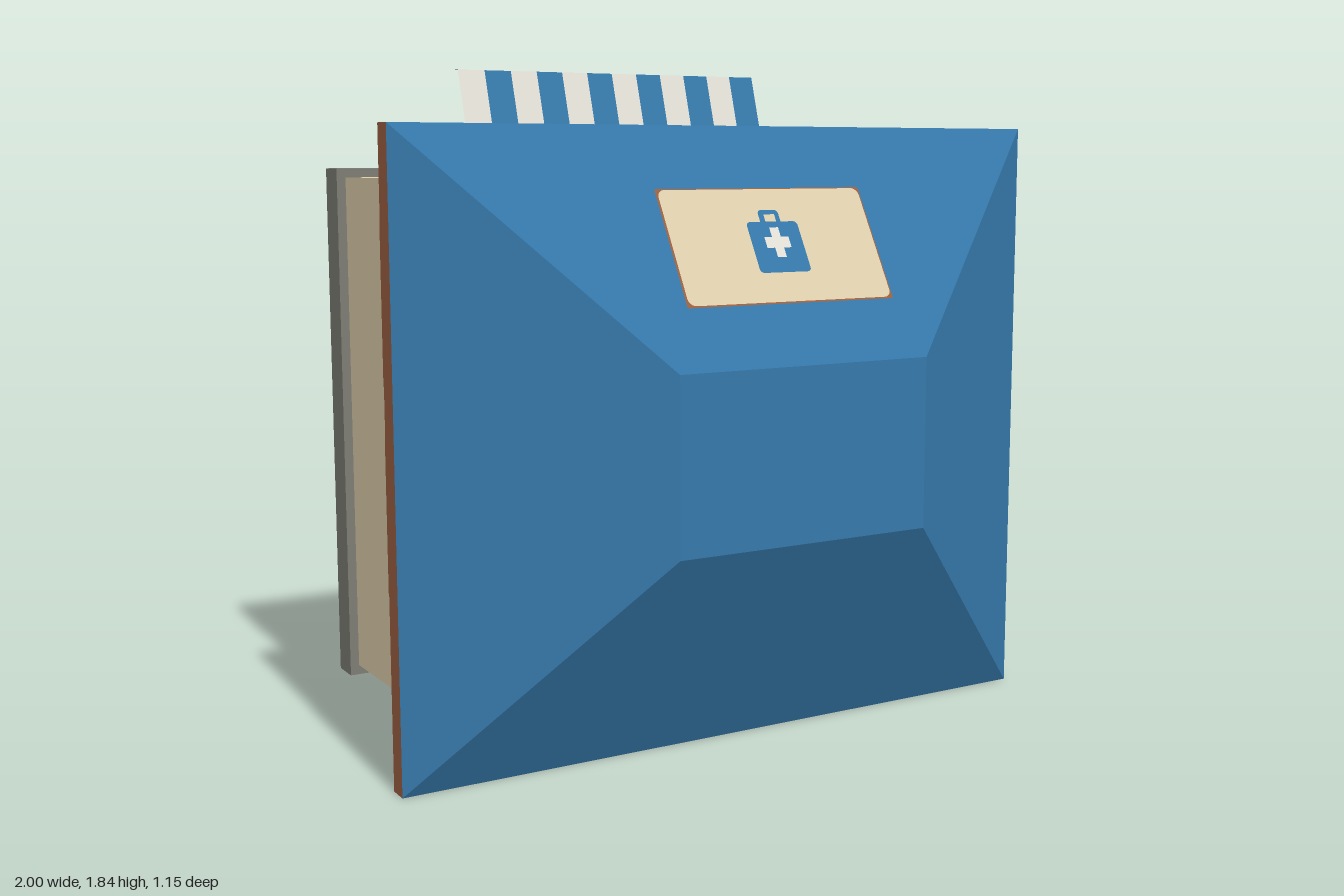
import * as THREE from 'three';

const mat = (name, color, side = THREE.FrontSide) => {
  const m = new THREE.MeshStandardMaterial({ color, side });
  m.name = name;
  return m;
};

export function createModel() {
  const model = new THREE.Group();
  model.name = 'shopBuilding';

  const cream = mat('cream', 0xdfcfad);
  const brown = mat('brownWood', 0x9b6142, THREE.DoubleSide);
  const blue = mat('roofBlue', 0x3679ab, THREE.DoubleSide);
  const glass = mat('glassBlue', 0x589cbb);
  const stone = mat('greyStone', 0x7d7d74, THREE.DoubleSide);
  const yellow = mat('displayYellow', 0xddb15d);
  const white = mat('offWhite', 0xe4e1d8, THREE.DoubleSide);

  const add = (parent, name, geometry, material) => {
    const mesh = new THREE.Mesh(geometry, material);
    mesh.name = name;
    parent.add(mesh);
    return mesh;
  };

  // Box given by its limits on each axis
  const block = (name, m, x0, x1, y0, y1, z0, z1) => {
    const mesh = add(model, name, new THREE.BoxGeometry(x1 - x0, y1 - y0, z1 - z0), m);
    mesh.position.set((x0 + x1) / 2, (y0 + y1) / 2, (z0 + z1) / 2);
  };

  // Flat face with rounded corners in the local xy plane, on layer 0, 1, 2...
  const face = (parent, name, m, x0, x1, y0, y1, layer, r = 0) => {
    const s = new THREE.Shape();
    if (r > 0) {
      s.absarc(x1 - r, y1 - r, r, 0, Math.PI / 2);
      s.absarc(x0 + r, y1 - r, r, Math.PI / 2, Math.PI);
      s.absarc(x0 + r, y0 + r, r, Math.PI, Math.PI * 1.5);
      s.absarc(x1 - r, y0 + r, r, Math.PI * 1.5, Math.PI * 2);
    } else {
      s.moveTo(x0, y0).lineTo(x1, y0).lineTo(x1, y1).lineTo(x0, y1);
    }
    add(parent, name, new THREE.ShapeGeometry(s, 4), m).position.z = 0.002 * (layer + 1);
  };

  // Open sheet across x, running from one (y, z) point to another
  const sheet = (parent, name, m, x0, x1, [ya, za], [yb, zb]) => {
    const g = new THREE.PlaneGeometry(x1 - x0, Math.hypot(yb - ya, zb - za));
    g.rotateX(Math.atan2(zb - za, yb - ya));
    add(parent, name, g, m).position.set((x0 + x1) / 2, (ya + yb) / 2, (za + zb) / 2);
  };

  // Thin-walled rectangular rim, with a panel closing it at zPanel
  const tray = (name, m, x, y0, y1, z0, z1, zPanel) => {
    const group = new THREE.Group();
    group.name = name;
    model.add(group);
    for (const y of [y0, y1]) sheet(group, 'rim', m, -x, x, [y, z0], [y, z1]);
    for (const s of [-1, 1]) {
      const side = add(group, 'rim', new THREE.PlaneGeometry(z1 - z0, y1 - y0), m);
      side.rotation.y = s * Math.PI / 2;
      side.position.set(s * x, (y0 + y1) / 2, (z0 + z1) / 2);
    }
    sheet(group, 'panel', m, -x, x, [y0, zPanel], [y1, zPanel]);
  };

  // Main body, lying on its back with the roof towards +z
  tray('baseSlab', stone, 0.88, 0.12, 1.59, -0.575, -0.487, -0.487);
  block('walls', cream, -0.855, 0.855, 0.148, 1.565, -0.485, 0.216);
  tray('eaves', brown, 1, 0, 1.705, 0.162, 0.22, 0.216);

  // Hipped roof: a box tapered towards its outer end
  const roofGeometry = new THREE.BoxGeometry(2, 1.705, 0.355);
  const p = roofGeometry.attributes.position;
  for (let i = 0; i < p.count; i++) {
    if (p.getZ(i) > 0) p.setXY(i, p.getX(i) * 0.385, p.getY(i) * 0.276);
  }
  roofGeometry.computeVertexNormals();
  add(model, 'roof', roofGeometry, blue).position.set(0, 0.8525, 0.3975);

  // Flat sign held just above the roof slope
  const sign = new THREE.Group();
  sign.name = 'roofSign';
  sign.position.set(0, 1.391, 0.419);
  sign.rotation.x = -Math.atan2(0.355, 0.6173);
  model.add(sign);
  face(sign, 'signBorder', brown, -0.322, 0.322, -0.17, 0.17, 0, 0.006);
  face(sign, 'signFace', cream, -0.317, 0.317, -0.166, 0.166, 1, 0.022);
  face(sign, 'caseHandle', blue, -0.032, 0.032, 0.05, 0.102, 2, 0.012);
  face(sign, 'handleGap', cream, -0.017, 0.017, 0.05, 0.088, 3);
  face(sign, 'caseBody', blue, -0.08, 0.08, -0.084, 0.065, 4, 0.012);
  face(sign, 'crossBar', white, -0.038, 0.038, -0.013, 0.019, 5);
  face(sign, 'crossPost', white, -0.014, 0.014, -0.041, 0.047, 5);

  // Two four-pane windows on each side wall
  for (const s of [1, -1]) {
    const wall = new THREE.Group();
    wall.name = s > 0 ? 'leftWindows' : 'rightWindows';
    wall.position.x = s * 0.855;
    wall.rotation.y = s * Math.PI / 2;
    model.add(wall);
    const pane = (name, m, z0, z1, y0, y1, layer, r) => {
      const [a, b] = [-s * z0, -s * z1];
      face(wall, name, m, Math.min(a, b), Math.max(a, b), y0, y1, layer, r);
    };
    for (const y of [0.634, 1.222]) {
      pane('windowFrame', brown, -0.222, 0.2, y - 0.222, y + 0.222, 0);
      for (const [y0, y1] of [[y - 0.192, y - 0.016], [y + 0.014, y + 0.194]]) {
        pane('windowPane', glass, -0.193, -0.024, y0, y1, 1, 0.02);
        pane('windowPane', glass, 0.002, 0.172, y0, y1, 1, 0.02);
      }
    }
  }

  // Shop front on the +y wall (local y runs towards -z)
  const shop = new THREE.Group();
  shop.name = 'shopFront';
  shop.position.y = 1.565;
  shop.rotation.x = -Math.PI / 2;
  model.add(shop);

  // Display window
  face(shop, 'displayFrame', brown, -0.707, 0.055, -0.165, 0.312, 0);
  face(shop, 'displayPane', yellow, -0.683, -0.26, -0.13, 0.286, 1, 0.03);
  face(shop, 'displayPane', yellow, -0.2, 0.055, -0.13, 0.286, 1, 0.015);
  for (const [x0, x1, y1] of [[-0.622, -0.528, 0.235], [-0.415, -0.335, 0.202], [-0.145, -0.05, 0.235]]) {
    face(shop, 'displayItem', cream, x0, x1, 0.118, y1, 2, 0.02);
  }
  face(shop, 'displayShelf', brown, -0.65, -0.295, 0, 0.034, 2, 0.01);
  face(shop, 'displayShelf', brown, -0.17, 0.055, 0, 0.034, 2);

  // Glass double door between brown posts
  face(shop, 'doorTrim', brown, 0.17, 0.645, 0.4, 0.485, 0);
  face(shop, 'doorFrame', stone, 0.17, 0.645, -0.13, 0.473, 1);
  face(shop, 'doorPane', glass, 0.172, 0.392, -0.088, 0.47, 2, 0.015);
  face(shop, 'doorPane', glass, 0.43, 0.645, -0.088, 0.47, 2, 0.015);
  for (const x of [0.37, 0.452]) face(shop, 'doorHandle', yellow, x - 0.008, x + 0.008, -0.025, -0.01, 3);
  block('doorPost', brown, 0.13, 0.17, 1.56, 1.58, -0.485, 0.216);
  block('doorPost', brown, 0.645, 0.685, 1.56, 1.58, -0.485, 0.216);

  // Striped awning: an open sloping sheet with a narrow hanging edge
  const awning = new THREE.Group();
  awning.name = 'awning';
  model.add(awning);
  const count = 12, width = 0.88 / count;
  for (let i = 0; i < count; i++) {
    const x = -0.765 + i * width;
    sheet(awning, 'awningStripe', i % 2 ? blue : white, x, x + width, [1.565, 0.2], [1.84, 0.115]);
  }
  sheet(awning, 'awningEdge', blue, -0.765, 0.115, [1.84, 0.115], [1.84, 0.095]);
  sheet(awning, 'awningLining', stone, -0.765, 0.115, [1.565, 0.197], [1.68, 0.1615]);

  return model;
}
